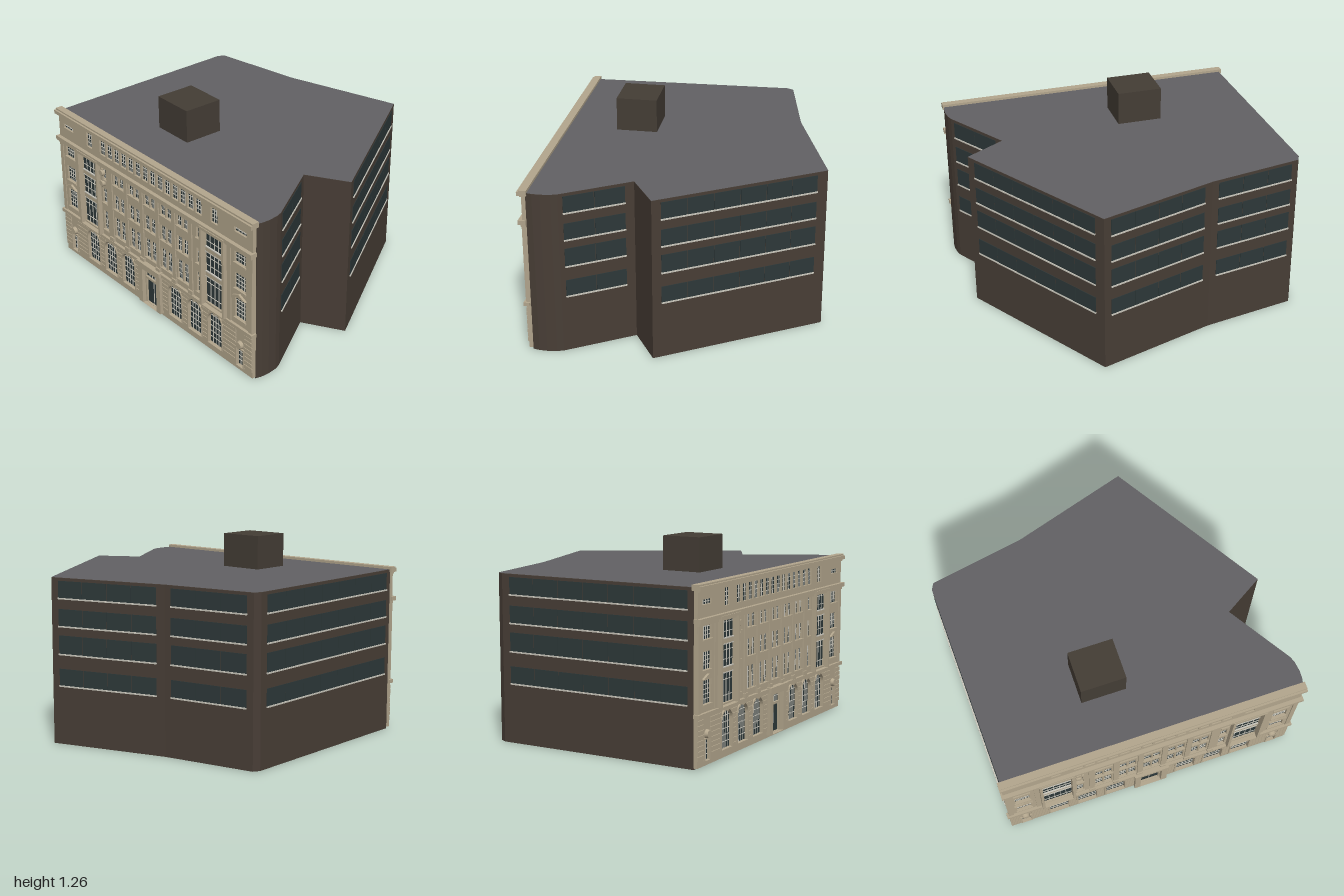
import * as THREE from 'three';
import { mergeGeometries } from 'three/addons/utils/BufferGeometryUtils.js';

const mat = (name, color, side = THREE.FrontSide) => {
  const m = new THREE.MeshStandardMaterial({ color, side });
  m.name = name;
  return m;
};

export function createModel() {
  const model = new THREE.Group();
  model.name = 'officeBuilding';
  const stone = mat('limestone', 0xb3a68d), brick = mat('darkBrick', 0x483e36);
  const roofing = mat('roofGrey', 0x626164), hutCol = mat('roofHutBrown', 0x443d35);
  const glass = mat('darkGlass', 0x2d3839), trim = mat('paleTrim', 0xc9c6bb);

  const add = (parent, name, geo, m) => {
    const mesh = new THREE.Mesh(geo, m);
    mesh.name = name;
    parent.add(mesh);
    return mesh;
  };
  // box from its lower and upper bounds
  const box = (x0, x1, y0, y1, z0, z1) =>
    new THREE.BoxGeometry(x1 - x0, y1 - y0, z1 - z0)
      .translate((x0 + x1) / 2, (y0 + y1) / 2, (z0 + z1) / 2);

  // main block on an irregular footprint [x, z]
  const plan = [[-0.98, 0.70], [0.955, 0.849], [0.967, 0.81], [0.973, 0.76], [0.97, 0.70], [0.96, 0.66],
    [0.74, 0.24], [1.0, 0.11], [0.48, -0.90], [-0.28, -0.73], [-0.885, -0.67], [-0.91, -0.63]];
  const foot = new THREE.Shape(plan.map(([x, z]) => new THREE.Vector2(x, -z)));
  add(model, 'mainBlock', new THREE.ExtrudeGeometry(foot, { depth: 1.048, bevelEnabled: false })
    .rotateX(-Math.PI / 2), brick);
  add(model, 'roof', new THREE.ShapeGeometry(foot).rotateX(-Math.PI / 2).translate(0, 1.05, 0), roofing);
  const hut = add(model, 'roofHut', new THREE.BoxGeometry(0.286, 0.215, 0.26), hutCol);
  hut.position.set(-0.184, 1.157, 0.307);
  hut.rotation.y = -0.08;

  // ribbon windows on side and back walls: plan indices, start and end fractions, panes
  const rows = [[0.37, 0.48], [0.57, 0.69], [0.745, 0.855], [0.92, 1.03]];
  for (const [i, s, e, n] of [[5, 0.06, 0.88, 2], [7, 0.05, 0.94, 6], [8, 0.06, 0.93, 4], [9, 0.07, 0.93, 3], [11, 0.04, 0.97, 7]]) {
    const a = plan[i], b = plan[(i + 1) % plan.length];
    const dx = b[0] - a[0], dz = b[1] - a[1], len = Math.hypot(dx, dz);
    const wall = new THREE.Group();
    wall.name = 'ribbonWindows';
    wall.position.set(a[0], 0, a[1]);
    wall.rotation.y = Math.atan2(-dz, dx);
    const panes = [], sills = [], w = len * (e - s) / n;
    for (const [y0, y1] of rows) {
      for (let k = 0; k < n; k++) {
        const x = len * s + k * w;
        panes.push(box(x + 0.002, x + w - 0.002, y0, y1, -0.002, 0.003));
      }
      sills.push(box(len * s, len * e, y0 - 0.004, y0 + 0.005, -0.002, 0.008));
    }
    add(wall, 'panes', mergeGeometries(panes), glass);
    add(wall, 'sills', mergeGeometries(sills), trim);
    model.add(wall);
  }

  // stone front, in its own slightly turned frame: z = 0 is the wall face
  const front = new THREE.Group();
  front.name = 'stoneFront';
  front.position.set(-0.017, 0, 0.80);
  front.rotation.y = -0.0767;
  model.add(front);
  const W = 0.972, holes = [], glazing = [], bars = [], sills = [];

  const outline = (x, y0, y1, hw, arched) => {
    const s = new THREE.Shape().moveTo(x - hw, y0).lineTo(x + hw, y0);
    if (arched) s.lineTo(x + hw, y1 - hw).absarc(x, y1 - hw, hw, 0, Math.PI, false);
    else s.lineTo(x + hw, y1).lineTo(x - hw, y1);
    s.closePath();
    return s;
  };
  // window: hole in the wall, glass behind and a grid of glazing bars
  const win = (x, y0, y1, hw, cols, rws, arched = false, sill = false) => {
    const s = outline(x, y0, y1, hw, arched);
    holes.push(s);
    glazing.push(new THREE.ShapeGeometry(s, 10).translate(0, 0, -0.014));
    const t = 0.0017, spring = y1 - hw;
    for (let c = 1; c < cols; c++) {
      const dx = -hw + 2 * hw * c / cols;
      const top = arched ? spring + Math.sqrt(hw * hw - dx * dx) : y1;
      bars.push(box(x + dx - t, x + dx + t, y0, top, -0.014, -0.010));
    }
    for (let r = 1; r < rws; r++) {
      const y = y0 + (y1 - y0) * r / rws;
      const h = arched && y > spring ? Math.sqrt(hw * hw - (y - spring) ** 2) : hw;
      bars.push(box(x - h, x + h, y - t, y + t, -0.014, -0.010));
    }
    if (sill) sills.push(box(x - hw - 0.006, x + hw + 0.006, y0 - 0.010, y0, -0.01, 0.008));
  };

  const floors = [[0.37, 0.51, 4], [0.57, 0.675, 3], [0.745, 0.84, 3]];
  const arches = [0.245, 0.44, 0.635], openings = [[0, 0.112, 0.4]];
  const pilasters = [], ornaments = [], bays = [];
  const ring = (x, y0, y1, hw, t, depth, arched) => {
    const s = outline(x, y0, y1 + t, hw + t, arched);
    s.holes.push(outline(x, y0, y1, hw, arched));
    return new THREE.ExtrudeGeometry(s, { depth, bevelEnabled: false, curveSegments: 10 });
  };
  const disc = (x, y, r, d) =>
    new THREE.CylinderGeometry(r * 0.8, r, d, 16).rotateX(Math.PI / 2).translate(x, y, d / 2);

  for (const s of [-1, 1]) {
    // ground floor arches and small end windows
    for (const a of arches) {
      win(s * a, 0.06, 0.295, 0.065, 5, 6, true);
      bays.push(ring(s * a, 0.06, 0.295, 0.065, 0.01, 0.010, true));
      ornaments.push(box(s * a - 0.009, s * a + 0.009, 0.288, 0.312, 0, 0.016));
      openings.push([s * a, 0.075, 0.23]);
    }
    win(s * 0.865, 0.04, 0.165, 0.03, 3, 4);
    bays.push(ring(s * 0.865, 0.04, 0.165, 0.03, 0.008, 0.010, false));
    openings.push([s * 0.865, 0.038, 0.4]);
    ornaments.push(disc(s * 0.865, 0.195, 0.028, 0.02));
    // end windows, with a pediment on the lowest
    for (const [y0, y1, r] of floors) win(s * 0.862, y0, y1, 0.048, 4, r + 1, false, true);
    const ped = new THREE.Shape().moveTo(-0.06, 0.52).lineTo(0.06, 0.52).lineTo(0, 0.547).closePath();
    ornaments.push(new THREE.ExtrudeGeometry(ped, { depth: 0.015, bevelEnabled: false }).translate(s * 0.862, 0, 0));
    win(s * 0.865, 0.945, 0.975, 0.054, 4, 2);
    win(s * 0.63, 0.91, 1.015, 0.03, 3, 4);
    // tall glazed bays with spandrels
    const bx = s * 0.634;
    win(bx, 0.335, 0.84, 0.095, 5, 1);
    bays.push(ring(bx, 0.325, 0.842, 0.095, 0.018, 0.03, false));
    for (const y of [0.51, 0.68]) {
      ornaments.push(box(bx - 0.095, bx + 0.095, y + 0.006, y + 0.034, -0.014, -0.006));
      for (const k of [0, 0.034]) bars.push(box(bx - 0.095, bx + 0.095, y + k, y + k + 0.006, -0.014, -0.004));
    }
    for (const y of [0.375, 0.47, 0.59, 0.645, 0.755, 0.81])
      bars.push(box(bx - 0.095, bx + 0.095, y, y + 0.003, -0.014, -0.010));
    // pilasters and consoles
    for (const x of [0.081, 0.244, 0.407])
      pilasters.push(box(s * x - 0.016, s * x + 0.016, 0.325, 0.84, 0, 0.008));
    for (const x of [0.765, 0.955])
      pilasters.push(box(s * x - 0.016, s * x + 0.016, 0.325, 0.84, 0, 0.006));
    for (const x of [0.081, 0.244, 0.407])
      ornaments.push(box(s * x - 0.02, s * x + 0.02, 0.325, 0.352, 0, 0.016));
    // single windows beside the bays
    for (const [y0, y1, r] of floors) win(s * 0.482, y0, y1, 0.022, 3, r, false, true);
  }
  // paired windows of the middle floors
  for (let p = -2; p <= 2; p++) for (const k of [-0.03, 0.03])
    for (const [y0, y1, r] of floors) win(p * 0.163 + k, y0, y1, 0.024, 3, r, false, true);
  // attic windows
  for (let i = 0; i < 14; i++) win((i - 6.5) * 0.0745, 0.91, 1.015, 0.03, 3, 4);
  // doorway with a light above the doors
  win(0, 0.22, 0.29, 0.067, 5, 2);
  win(0, 0.03, 0.205, 0.062, 2, 1);
  bays.push(ring(0, 0.03, 0.295, 0.072, 0.04, 0.026, false).scale(1, 0.95, 1));
  ornaments.push(box(-0.118, 0.118, 0.30, 0.33, 0, 0.034));
  // cartouche beside the left bay
  ornaments.push(disc(-0.49, 0.79, 0.024, 0.02), disc(-0.49, 0.715, 0.024, 0.02),
    box(-0.5, -0.48, 0.715, 0.82, 0, 0.012));

  // rusticated courses, broken at each opening
  const courses = [];
  openings.sort((a, b) => a[0] - b[0]);
  for (let y = 0.052; y < 0.28; y += 0.03) {
    let x = -W;
    const put = (x1) => { if (x1 - x > 0.004) courses.push(box(x, x1, y, y + 0.025, -0.002, 0.006)); };
    for (const [ox, hw, spring] of openings) {
      const up = Math.max(0, y + 0.01 - spring);
      const h = Math.sqrt(Math.max(0, hw * hw - up * up));
      put(ox - h);
      x = ox + h;
    }
    put(W);
  }

  const face = new THREE.Shape().moveTo(-W, 0.01).lineTo(W, 0.01).lineTo(W, 1.05).lineTo(-W, 1.05).closePath();
  face.holes.push(...holes);
  add(front, 'frontWall', new THREE.ExtrudeGeometry(face, { depth: 0.025, bevelEnabled: false, curveSegments: 10 })
    .translate(0, 0, -0.025), stone);
  add(front, 'frontGlass', mergeGeometries(glazing), glass);
  add(front, 'glazingBars', mergeGeometries(bars), trim);
  add(front, 'windowSills', mergeGeometries(sills), stone);
  add(front, 'pilasters', mergeGeometries(pilasters), stone);
  add(front, 'stoneCourses', mergeGeometries(courses), stone);
  add(front, 'openingSurrounds', mergeGeometries(bays), stone);
  add(front, 'ornaments', mergeGeometries(ornaments.map(g => g.index ? g.toNonIndexed() : g)), stone);

  // string course, cornices and parapet
  const C = 0.984;
  add(front, 'cornices', mergeGeometries([
    box(-C, C, 0.302, 0.325, -0.02, 0.018),
    box(-W, W, 0.828, 0.845, -0.02, 0.012), box(-C, C, 0.845, 0.872, -0.02, 0.025),
    box(-W, W, 1.02, 1.032, -0.02, 0.012), box(-C, C, 1.032, 1.056, -0.034, 0.025),
    box(-C, C, 1.056, 1.066, -0.034, 0.012),
  ]), stone);
  return model;
}
